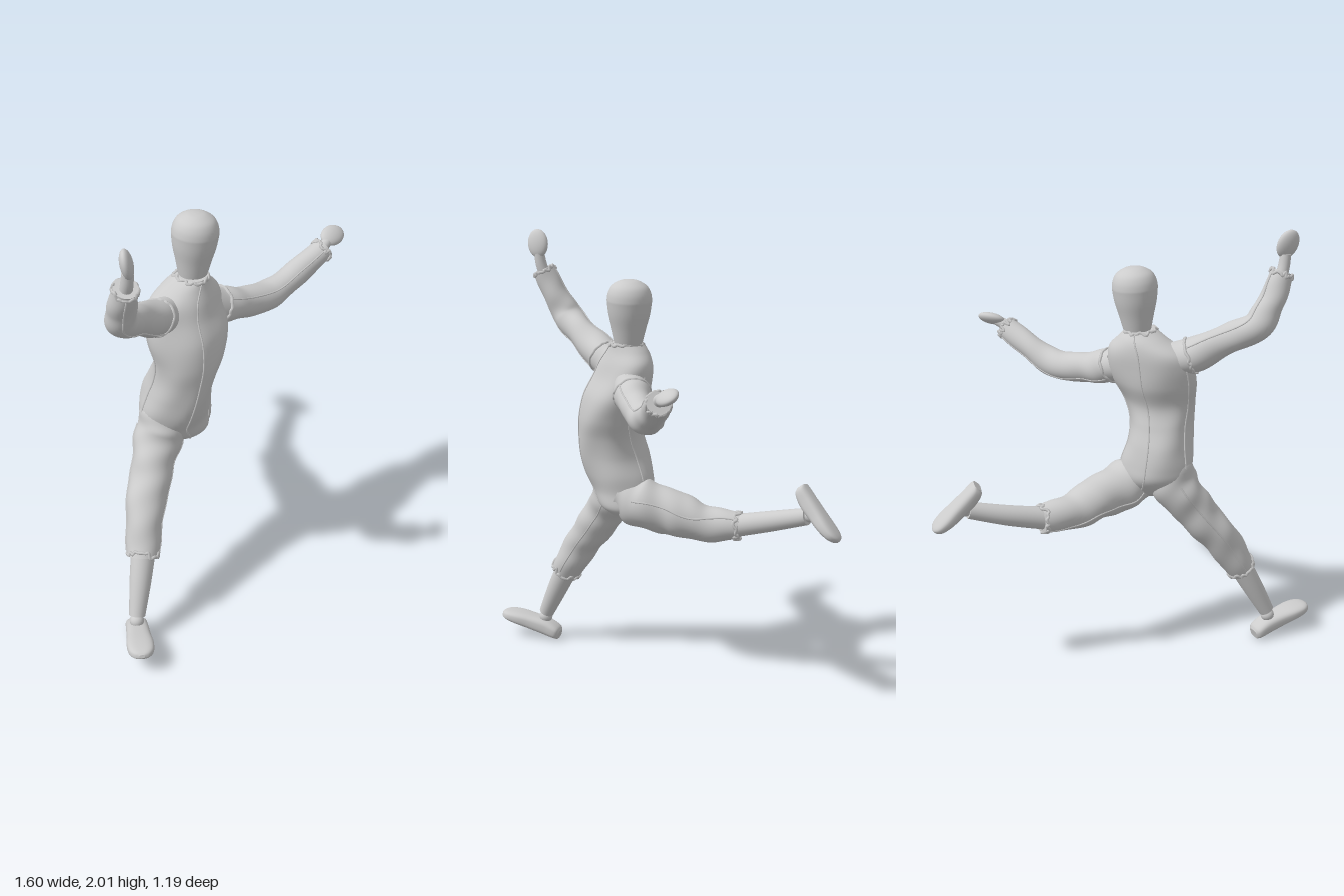
import * as THREE from 'three';

const V3 = (x, y, z) => new THREE.Vector3(x, y, z);
const material = new THREE.MeshStandardMaterial({ color: 0xcccccc });

// Seeded random for the frayed hems
let seed = 7;
const rand = () => (seed = (seed * 16807) % 2147483647) / 2147483647;

function add(parent, name, geometry) {
  const mesh = new THREE.Mesh(geometry, material);
  mesh.name = name;
  parent.add(mesh);
  return mesh;
}

// Capped skin over surface(t, a): t runs along the part, a around it
function loft(surface, rows = 48, sides = 32) {
  const pos = [], idx = [];
  for (let i = 0; i <= rows; i++)
    for (let j = 0; j < sides; j++) pos.push(...surface(i / rows, (j / sides) * Math.PI * 2).toArray());
  for (let i = 0; i < rows; i++)
    for (let j = 0; j < sides; j++) {
      const k = (j + 1) % sides, a = i * sides + j, b = i * sides + k;
      idx.push(a, b, a + sides, b, b + sides, a + sides);
    }
  for (const end of [0, 1]) {
    const base = pos.length / 3, mid = V3(0, 0, 0);
    for (let j = 0; j < sides; j++) {
      const p = surface(end, (j / sides) * Math.PI * 2);
      pos.push(p.x, p.y, p.z);
      mid.addScaledVector(p, 1 / sides);
    }
    pos.push(mid.x, mid.y, mid.z);
    for (let j = 0; j < sides; j++) {
      const a = base + j, b = base + ((j + 1) % sides);
      idx.push(base + sides, end ? a : b, end ? b : a);
    }
  }
  const g = new THREE.BufferGeometry();
  g.setAttribute('position', new THREE.Float32BufferAttribute(pos, 3));
  g.setIndex(idx);
  g.computeVertexNormals();
  return g;
}

// Round limb through [x, y, z, radius] stations, with cloth folds of the given depth
function limb(stations, fold = 0) {
  const path = new THREE.CatmullRomCurve3(stations.map(s => V3(s[0], s[1], s[2])));
  const radii = new THREE.CatmullRomCurve3(stations.map((s, i) => V3(s[3], i, 0)), false, 'catmullrom', 0.5);
  return (t, a) => {
    const T = path.getTangent(t);
    const U = V3().crossVectors(T, V3(0, 0, 1)).normalize();
    const W = V3().crossVectors(T, U);
    const wave = 0.6 * Math.sin(19 * t + 1.7 * Math.sin(a) + a) + 0.4 * Math.sin(31 * t - 2 * a);
    const r = radii.getPoint(t).x * (1 + fold * wave);
    return path.getPoint(t).addScaledVector(U, r * Math.cos(a)).addScaledVector(W, r * Math.sin(a));
  };
}

// Raised stitching along a surface
function seam(parent, name, surface, angle, t0 = 0.03, t1 = 0.97) {
  const pts = Array.from({ length: 25 }, (_, i) => {
    const t = t0 + ((t1 - t0) * i) / 24;
    return surface(t, angle(t));
  });
  add(parent, name, new THREE.TubeGeometry(new THREE.CatmullRomCurve3(pts), 72, 0.004, 5));
}

// Ragged ring of cloth around a surface
function hem(parent, name, surface, t, ragged = 0.02) {
  const pts = Array.from({ length: 36 }, (_, i) =>
    surface(Math.min(1, t + (rand() - 0.5) * ragged), (i / 36) * Math.PI * 2));
  add(parent, name, new THREE.TubeGeometry(new THREE.CatmullRomCurve3(pts, true), 108, 0.0075, 5, true));
}

function sleeve(parent, name, stations, armhole) {
  const s = limb(stations, 0.055);
  add(parent, name, loft(s, 64, 36));
  hem(parent, name + 'Hem', s, 0.985, 0.04);
  if (armhole) hem(parent, name + 'Armhole', s, armhole, 0.015);
  seam(parent, name + 'SeamA', s, () => 0.9, 0.2);
  seam(parent, name + 'SeamB', s, () => 0.9 + Math.PI, 0.2);
}

// Flattened egg hand; dir is along the fingers, wide across the palm
function hand(parent, name, centre, dir, wide, size) {
  const y = V3(...dir).normalize();
  const z = V3().crossVectors(V3(...wide), y).normalize();
  const x = V3().crossVectors(y, z);
  const m = add(parent, name, new THREE.SphereGeometry(1, 28, 20));
  m.quaternion.setFromRotationMatrix(new THREE.Matrix4().makeBasis(x, y, z));
  m.scale.set(...size);
  m.position.set(...centre);
}

// Flat-soled foot: [along, half width, top] stations measured from the ankle
const FOOT = [[-0.095, 0.03, -0.04], [-0.08, 0.045, -0.025], [-0.02, 0.05, -0.01], [0.06, 0.054, -0.014],
  [0.13, 0.06, -0.022], [0.18, 0.053, -0.034], [0.205, 0.034, -0.045], [0.215, 0.012, -0.055]];
function foot(parent, name, ankle, dir, upHint, scale) {
  const d = V3(...dir).normalize();
  const side = V3().crossVectors(V3(...upHint), d).normalize();
  const up = V3().crossVectors(d, side);
  const curve = new THREE.CatmullRomCurve3(FOOT.map(f => V3(...f)));
  const power = v => Math.sign(v) * Math.pow(Math.abs(v), 0.7);
  add(parent, name, loft((t, a) => {
    const f = curve.getPoint(t);
    const bottom = -0.085 + 0.015 * Math.pow(t, 6), half = (f.z - bottom) / 2;
    return V3(...ankle).addScaledVector(d, f.x * scale)
      .addScaledVector(side, f.y * scale * power(Math.cos(a)))
      .addScaledVector(up, (bottom + half + half * power(Math.sin(a))) * scale);
  }, 32, 32));
}

// Torso stations: [centre x, y, centre z, half width, half depth]
const TORSO = [[-0.12, 0.75, 0.18, 0.07, 0.05], [-0.135, 0.79, 0.175, 0.125, 0.1], [-0.165, 0.86, 0.155, 0.16, 0.135],
  [-0.175, 0.93, 0.165, 0.165, 0.15], [-0.18, 1.02, 0.185, 0.148, 0.155], [-0.172, 1.11, 0.21, 0.145, 0.145],
  [-0.155, 1.2, 0.225, 0.165, 0.135], [-0.138, 1.3, 0.2, 0.195, 0.14], [-0.128, 1.39, 0.172, 0.2, 0.122],
  [-0.118, 1.455, 0.16, 0.18, 0.11], [-0.098, 1.505, 0.158, 0.115, 0.093], [-0.08, 1.545, 0.17, 0.062, 0.07]];
const torsoCentre = new THREE.CatmullRomCurve3(TORSO.map(s => V3(s[0], s[1], s[2])), false, 'catmullrom', 0.5);
const torsoSize = new THREE.CatmullRomCurve3(TORSO.map((s, i) => V3(s[3], s[4], i)), false, 'catmullrom', 0.5);
const frontLine = t => -0.42 + 0.3 * t;
function torso(t, a) {
  const c = torsoCentre.getPoint(t), s = torsoSize.getPoint(t);
  const off = Math.atan2(Math.sin(a - frontLine(t)), Math.cos(a - frontLine(t)));
  const keel = 0.05 * Math.exp(-off * off * 8) * Math.sin(Math.PI * t);
  const folds = 0.025 * Math.sin(3 * a + 9 * t) + 0.018 * Math.sin(5 * a - 15 * t + 1);
  const k = 1 + keel + folds * Math.sin(Math.PI * t);
  return V3(c.x + s.x * k * Math.sin(a), c.y, c.z + s.y * k * Math.cos(a));
}

export function createModel() {
  const root = new THREE.Group();
  root.name = 'leapingFigure';

  // Egg-shaped head
  const profile = [[0, -0.2], [0.056, -0.2], [0.064, -0.17], [0.078, -0.11], [0.093, -0.05], [0.1, 0], [0.101, 0.02],
    [0.095, 0.05], [0.078, 0.078], [0.045, 0.098], [0.018, 0.104], [0, 0.105]];
  const outline = new THREE.SplineCurve(profile.slice(1).map(p => new THREE.Vector2(...p))).getPoints(40);
  outline.forEach(p => (p.x = Math.max(0, p.x)));
  const head = add(root, 'head', new THREE.LatheGeometry([new THREE.Vector2(0, -0.2), ...outline], 40));
  head.position.set(-0.057, 1.72, 0.162);
  head.rotation.z = -0.07;

  // Suit body with front, back and side stitching
  add(root, 'torso', loft(torso, 80, 56));
  hem(root, 'collar', torso, 0.985, 0.03);
  seam(root, 'frontSeam', torso, frontLine);
  seam(root, 'backSeam', torso, () => Math.PI);
  seam(root, 'leftSideSeam', torso, () => 1.9, 0.1, 0.75);
  seam(root, 'rightSideSeam', torso, () => -1.9, 0.1, 0.75);

  // Raised right arm
  sleeve(root, 'rightSleeve', [[-0.2, 1.4, 0.17, 0.075], [-0.32, 1.445, 0.195, 0.079], [-0.47, 1.525, 0.25, 0.066],
    [-0.59, 1.595, 0.285, 0.067], [-0.63, 1.69, 0.33, 0.06], [-0.657, 1.815, 0.385, 0.05]], 0.19);
  add(root, 'rightWrist', loft(limb([[-0.655, 1.79, 0.38, 0.027], [-0.66, 1.84, 0.395, 0.026], [-0.663, 1.89, 0.403, 0.024]]), 10, 20));
  hand(root, 'rightHand', [-0.67, 1.934, 0.406], [-0.3, 1, 0.03], [-0.6, 0, 0.6], [0.051, 0.067, 0.026]);

  // Outstretched left arm
  sleeve(root, 'leftSleeve', [[-0.03, 1.385, 0.175, 0.08], [0.08, 1.335, 0.195, 0.078], [0.2, 1.305, 0.215, 0.07],
    [0.355, 1.287, 0.23, 0.066], [0.5, 1.34, 0.25, 0.058], [0.655, 1.418, 0.278, 0.05]], 0.18);
  add(root, 'leftWrist', loft(limb([[0.62, 1.405, 0.273, 0.027], [0.66, 1.43, 0.274, 0.026], [0.7, 1.445, 0.27, 0.022]]), 10, 20));
  hand(root, 'leftHand', [0.722, 1.452, 0.267], [1, 0.05, -0.04], [0, -0.55, 0.8], [0.048, 0.067, 0.025]);

  // Planted right leg
  sleeve(root, 'rightTrouserLeg', [[-0.22, 0.91, 0.155, 0.115], [-0.275, 0.8, 0.165, 0.106], [-0.36, 0.675, 0.205, 0.092],
    [-0.46, 0.53, 0.265, 0.084], [-0.545, 0.36, 0.335, 0.068]]);
  add(root, 'rightCalf', loft(limb([[-0.53, 0.39, 0.325, 0.055], [-0.59, 0.26, 0.365, 0.048], [-0.65, 0.125, 0.405, 0.036]]), 16, 28));
  add(root, 'rightAnkle', new THREE.SphereGeometry(0.032, 20, 14)).position.set(-0.655, 0.1, 0.408);
  foot(root, 'rightFoot', [-0.655, 0.1, 0.41], [-0.587, 0.284, 0.758], [0, 1, 0], 1);

  // Trailing left leg
  sleeve(root, 'leftTrouserLeg', [[-0.11, 0.85, 0.18, 0.095], [-0.05, 0.81, 0.11, 0.112], [0.035, 0.775, -0.01, 0.102],
    [0.12, 0.737, -0.13, 0.084], [0.215, 0.735, -0.265, 0.062]]);
  add(root, 'leftCalf', loft(limb([[0.19, 0.732, -0.235, 0.052], [0.325, 0.778, -0.365, 0.046], [0.46, 0.825, -0.475, 0.038]]), 16, 28));
  add(root, 'leftAnkle', new THREE.SphereGeometry(0.032, 20, 14)).position.set(0.472, 0.832, -0.488);
  foot(root, 'leftFoot', [0.44, 0.845, -0.465], [0.607, -0.729, -0.324], [-0.74, -0.25, 0.63], 0.94);

  return root;
}
